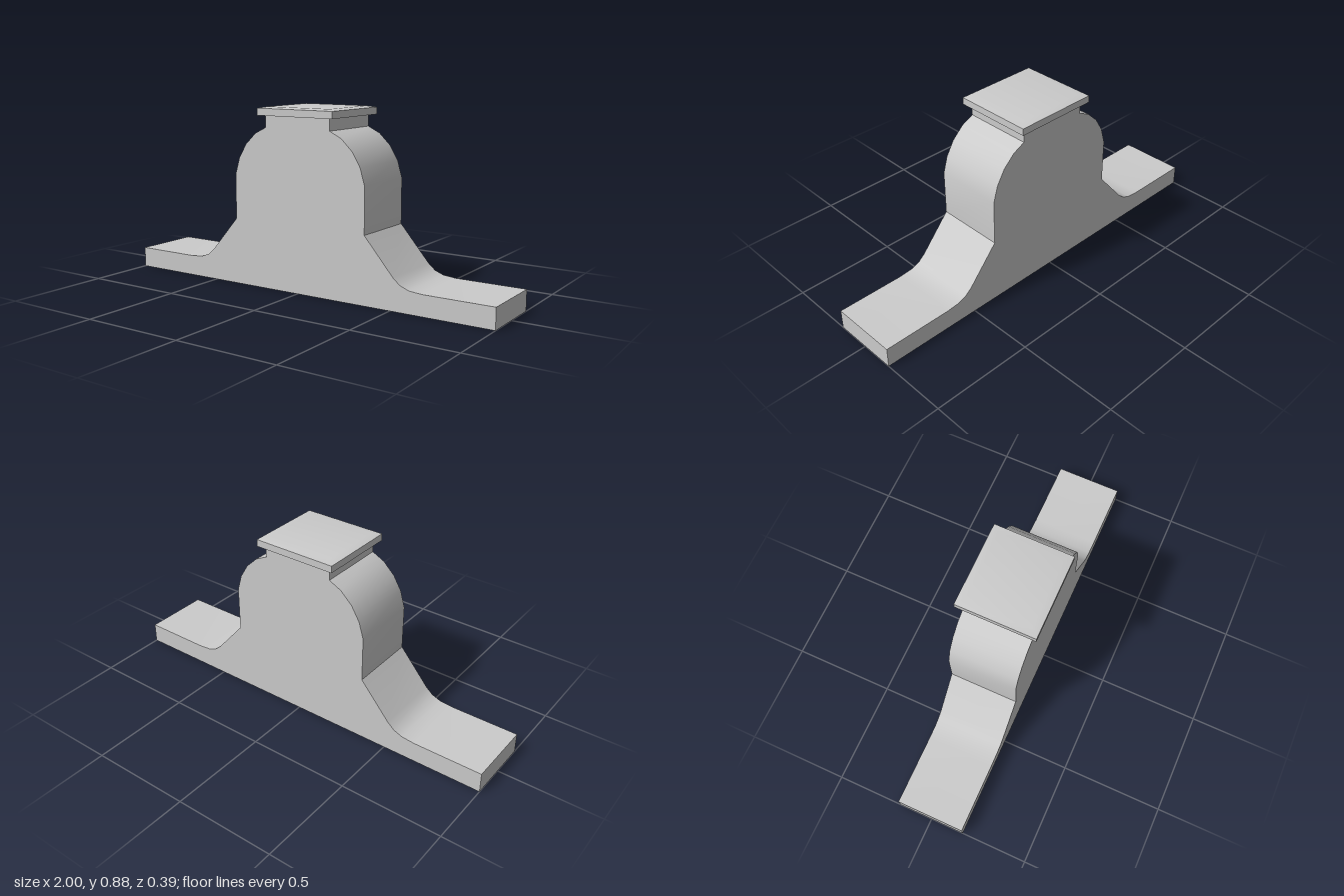
import * as THREE from 'three';
import { toCreasedNormals } from 'three/addons/utils/BufferGeometryUtils.js';

const material = new THREE.MeshStandardMaterial({ color: 0xcccccc });
const CREASE = Math.PI / 6;

function part(name, geometry) {
  const mesh = new THREE.Mesh(toCreasedNormals(geometry, CREASE), material);
  mesh.name = name;
  return mesh;
}

// Right half of the silhouette, from the foot up to the neck
const halfProfile = [
  [1, 0], [1, 0.1], [0.66, 0.1], [0.594, 0.106], [0.55, 0.123], [0.515, 0.153],
  [0.366, 0.325], [0.366, 0.545], [0.342, 0.626], [0.3, 0.695], [0.242, 0.75],
  [0.18, 0.78], [0.18, 0.837],
];

function bodyGeometry(depth) {
  const mirrored = halfProfile.map(([x, y]) => [-x, y]).reverse();
  const outline = [...halfProfile, ...mirrored].map(([x, y]) => new THREE.Vector2(x, y));
  const geometry = new THREE.ExtrudeGeometry(new THREE.Shape(outline), { depth, bevelEnabled: false });
  return geometry.translate(0, 0, -depth / 2);
}

// Slab with straight rim and a shallow bevel rising to a flat top
function capGeometry(width, depth, bottom, rim, top, inset) {
  const geometry = new THREE.BoxGeometry(width, 2, depth, 1, 2, 1);
  const p = geometry.attributes.position;
  const heights = [bottom, rim, top];
  for (let i = 0; i < p.count; i++) {
    const row = Math.round(p.getY(i)) + 1;
    const shrink = row === 2 ? inset : 0;
    p.setXYZ(i,
      p.getX(i) - Math.sign(p.getX(i)) * shrink,
      heights[row],
      p.getZ(i) - Math.sign(p.getZ(i)) * shrink);
  }
  return geometry;
}

export function createModel() {
  const group = new THREE.Group();
  group.name = 'mantelClockCase';
  group.add(part('body', bodyGeometry(0.338)));
  group.add(part('cap', capGeometry(0.42, 0.39, 0.837, 0.871, 0.878, 0.036)));
  return group;
}
